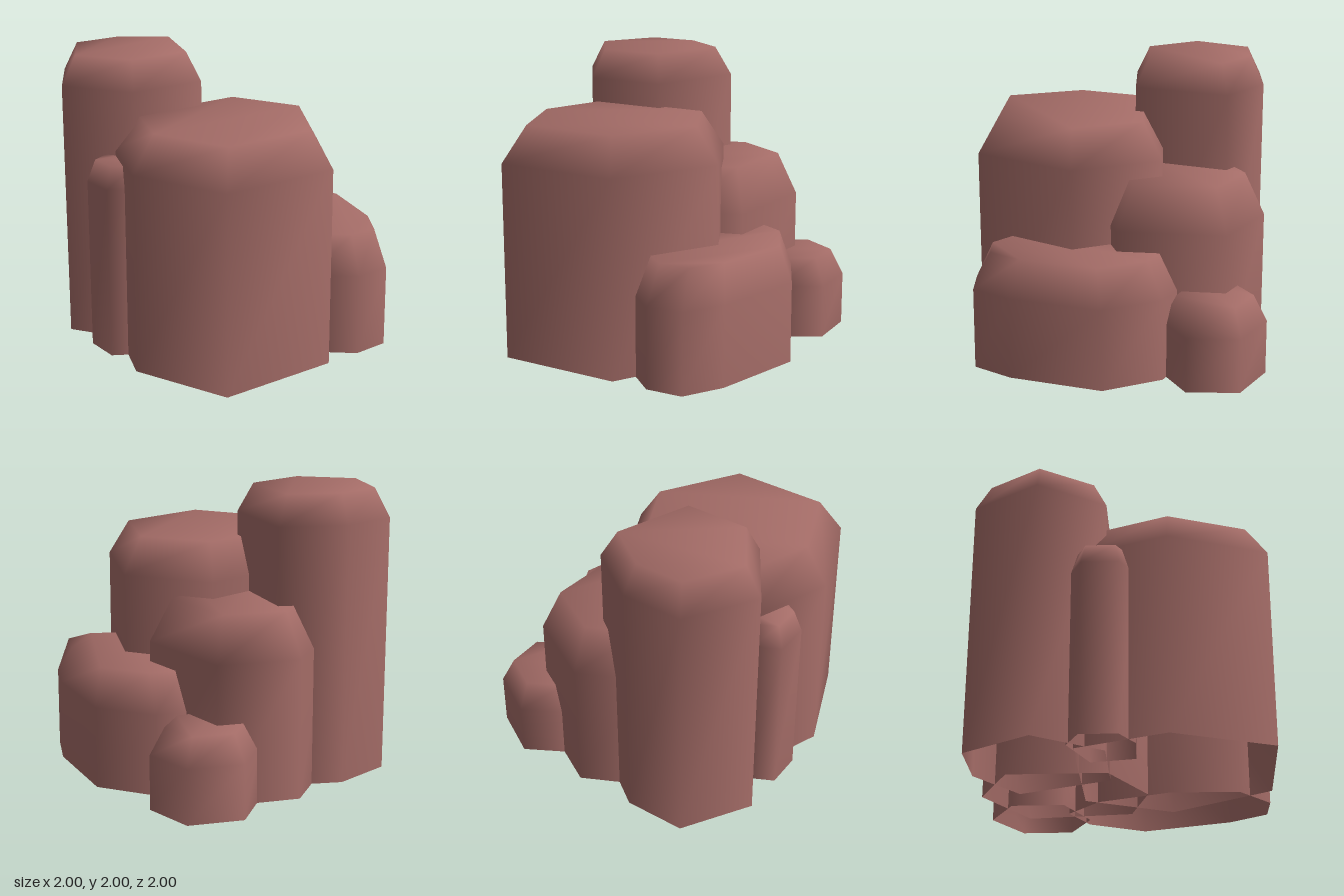
import * as THREE from 'three';

const rock = new THREE.MeshStandardMaterial({ color: 0xa46c67, side: THREE.DoubleSide });
rock.name = 'reddish rock';

// Stone column with an open base: straight walls, a bevelled shoulder and a flat, smooth-shaded top.
// The outline [x, z] runs clockwise seen from above, starting at the back left corner.
function column({ name, outline, shoulder, height, centre, inset }) {
  const n = outline.length;
  const positions = [];
  const index = [];
  const rings = [[0, 1], [shoulder, 0.995], [height, inset]];
  for (const [y, s] of rings) {
    for (const [x, z] of outline) {
      positions.push(centre[0] + (x - centre[0]) * s, y, centre[1] + (z - centre[1]) * s);
    }
  }
  // walls and bevel
  for (let r = 0; r < 2; r++) {
    for (let i = 0; i < n; i++) {
      const j = (i + 1) % n;
      const a = r * n + i, b = r * n + j;
      index.push(a, a + n, b, b, a + n, b + n);
    }
  }
  // top, cut as a zigzag from the first corner to the opposite one
  let right = 1, left = n - 1;
  const top = 2 * n;
  index.push(top, top + left, top + right);
  for (let k = 0; left - right > 1; k++) {
    if (k % 2 === 0) {
      index.push(top + right, top + left, top + right + 1);
      right++;
    } else {
      index.push(top + right, top + left, top + left - 1);
      left--;
    }
  }
  const geometry = new THREE.BufferGeometry();
  geometry.setAttribute('position', new THREE.Float32BufferAttribute(positions, 3));
  geometry.setIndex(index);
  geometry.computeVertexNormals();
  const mesh = new THREE.Mesh(geometry, rock);
  mesh.name = name;
  return mesh;
}

const columns = [
  {
    name: 'tallBackColumn', shoulder: 1.8, height: 2, centre: [-0.45, -0.54], inset: 0.79,
    outline: [[-0.71, -1], [-0.28, -1], [0.1, -0.73], [-0.15, -0.09], [-0.71, -0.09], [-1, -0.54]],
  },
  {
    name: 'wideFrontColumn', shoulder: 1.38, height: 1.63, centre: [-0.22, 0.35], inset: 0.78,
    outline: [[-0.76, -0.29], [0.27, -0.29], [0.55, 0.32], [0.12, 1], [-0.74, 0.995], [-1, 0.32]],
  },
  {
    name: 'middleBackColumn', shoulder: 0.97, height: 1.27, centre: [0.16, -0.43], inset: 0.75,
    outline: [[-0.3, -0.78], [0.15, -1], [0.65, -0.72], [0.58, 0.02], [0.15, 0.15], [-0.3, -0.1]],
  },
  {
    name: 'lowFrontColumn', shoulder: 0.57, height: 0.83, centre: [0.55, 0.3], inset: 0.82,
    outline: [[0.3, -0.2], [0.55, -0.43], [0.81, -0.3], [1, 0.1], [0.81, 0.73], [0.64, 0.99],
      [0.38, 1], [0.13, 0.78], [0.12, 0.3]],
  },
  {
    name: 'smallBackColumn', shoulder: 0.38, height: 0.565, centre: [0.68, -0.65], inset: 0.73,
    outline: [[0.35, -0.82], [0.67, -1], [1, -0.81], [1, -0.45], [0.7, -0.29], [0.35, -0.45]],
  },
  {
    name: 'thinSideColumn', shoulder: 1.2, height: 1.35, centre: [-0.77, -0.11], inset: 0.78,
    outline: [[-0.82, -0.33], [-0.5, -0.2], [-0.55, 0.1], [-0.83, 0.11], [-1, 0.01], [-1, -0.24]],
  },
];

export function createModel() {
  const group = new THREE.Group();
  group.name = 'rockCluster';
  for (const spec of columns) group.add(column(spec));
  return group;
}
